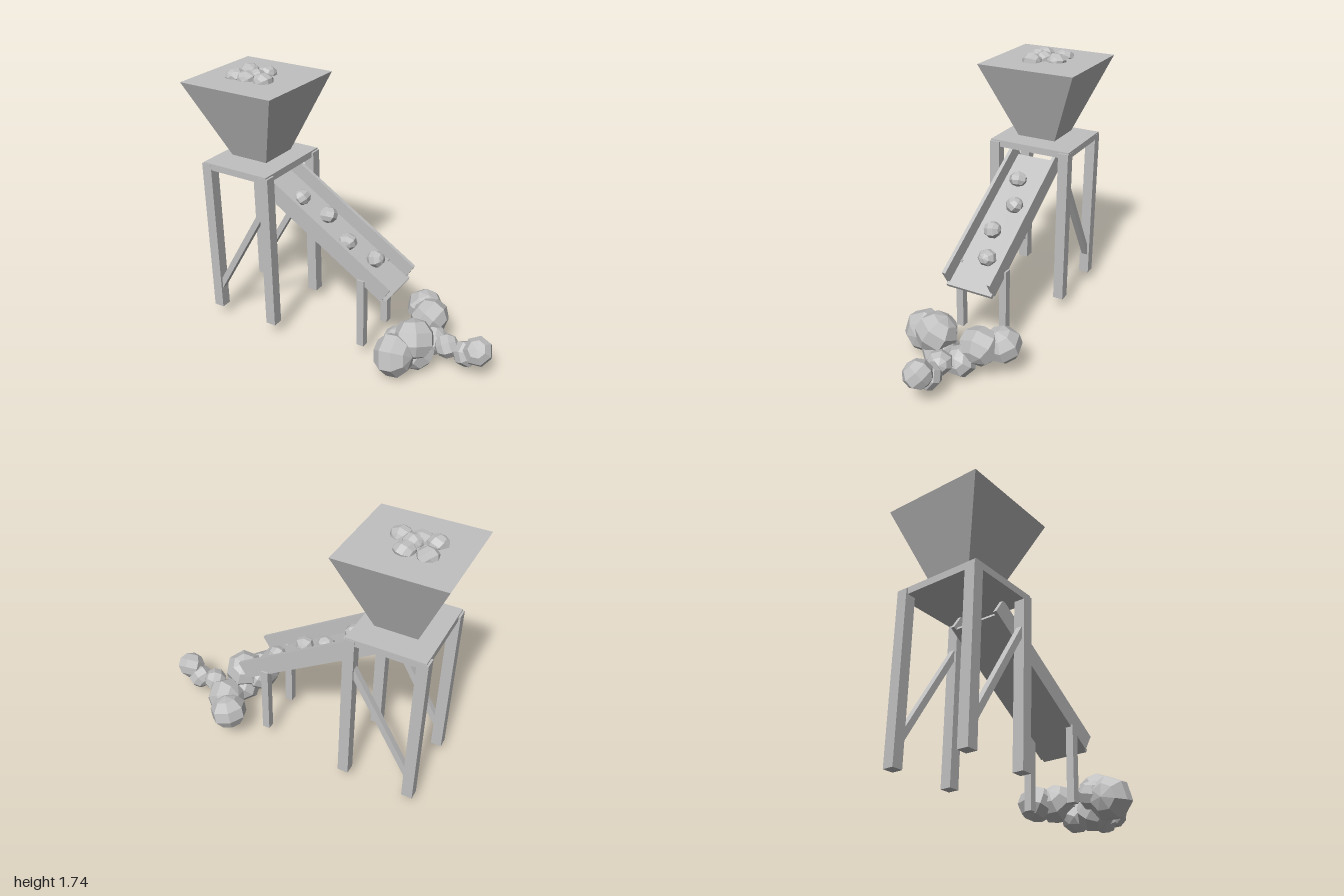
import * as THREE from 'three';

export function createModel() {
  const model = new THREE.Group();
  model.name = 'oreChute';
  const grey = new THREE.MeshStandardMaterial({ color: 0xc0c0c0, flatShading: true });
  grey.name = 'plain grey';

  const add = (name, geometry, x, y, z, parent = model) => {
    const mesh = new THREE.Mesh(geometry, grey);
    mesh.name = name;
    mesh.position.set(x, y, z);
    parent.add(mesh);
    return mesh;
  };
  const box = (name, w, h, d, x, y, z, parent) =>
    add(name, new THREE.BoxGeometry(w, h, d), x, y, z, parent);

  // Filled hopper: a four-sided tapered block
  const hopper = new THREE.CylinderGeometry(0.332 * Math.SQRT2, 0.133 * Math.SQRT2, 0.5, 4);
  hopper.rotateY(Math.PI / 4);
  add('hopper', hopper, -0.667, 1.435, 0);

  // Stand: top plate, four legs and a diagonal brace on each side
  box('standTop', 0.485, 0.045, 0.57, -0.67, 1.1425, 0);
  for (const side of [-1, 1]) {
    for (const x of [-0.89, -0.45]) {
      box('standLeg', 0.07, 1.065, 0.07, x, 0.6225, side * 0.252);
    }
    const brace = box('standBrace', 0.82, 0.04, 0.04, -0.67, 0.59, side * 0.252);
    brace.rotation.z = Math.atan2(0.63, 0.37);
  }

  // Sloping chute, laid out along its own x axis
  const chute = new THREE.Group();
  chute.name = 'chute';
  chute.position.set(-0.105, 0.797, 0);
  chute.rotation.z = -Math.atan2(0.565, 0.91);
  model.add(chute);
  box('chuteFloor', 1.07, 0.025, 0.32, 0.022, -0.0475, 0, chute);
  for (const side of [-1, 1]) {
    box('chuteRail', 1.07, 0.12, 0.024, 0, 0, side * 0.158, chute);
    box('chuteLeg', 0.05, 0.485, 0.05, 0.18, 0.3325, side * 0.157);
  }

  // Low-poly rocks, turned and squashed by a seeded generator
  let seed = 11;
  const random = () => (seed = (seed * 16807) % 2147483647) / 2147483647;
  const rock = (name, x, y, z, r, flat = 1) => {
    const geometry = new THREE.SphereGeometry(1, 7, 5);
    geometry.scale(r * (0.95 + 0.1 * random()), r * (0.88 + 0.1 * random()), r * (0.95 + 0.1 * random()));
    geometry.rotateX(random() * 6.28);
    geometry.rotateZ(random() * 6.28);
    geometry.scale(1, flat, 1);
    add(name, geometry, x, y, z);
  };

  const hopperRocks = [
    [-0.78, -0.07], [-0.65, -0.075], [-0.78, 0.07],
    [-0.69, 0.075], [-0.575, 0.065], [-0.66, 0.02],
  ];
  for (const [x, z] of hopperRocks) rock('hopperRock', x, 1.685, z, 0.07, 0.8);

  const chuteRocks = [
    [-0.34, 0.955, 0.03], [-0.18, 0.845, -0.03], [0, 0.73, 0.03], [0.17, 0.625, -0.03],
  ];
  for (const [x, y, z] of chuteRocks) rock('chuteRock', x, y, z, 0.06, 0.9);

  const pileRocks = [
    [0.415, 0.21, -0.275, 0.125], [0.5, 0.215, -0.17, 0.13], [0.575, 0.125, -0.08, 0.1],
    [0.7, 0.165, -0.01, 0.08], [0.825, 0.15, -0.015, 0.088], [0.91, 0.21, 0, 0.098],
    [0.53, 0.235, 0.12, 0.143], [0.46, 0.17, 0.245, 0.14], [0.53, 0.125, 0.095, 0.127],
    [0.43, 0.2, 0.14, 0.1],
  ];
  for (const [x, y, z, r] of pileRocks) rock('pileRock', x, y, z, r);

  return model;
}
